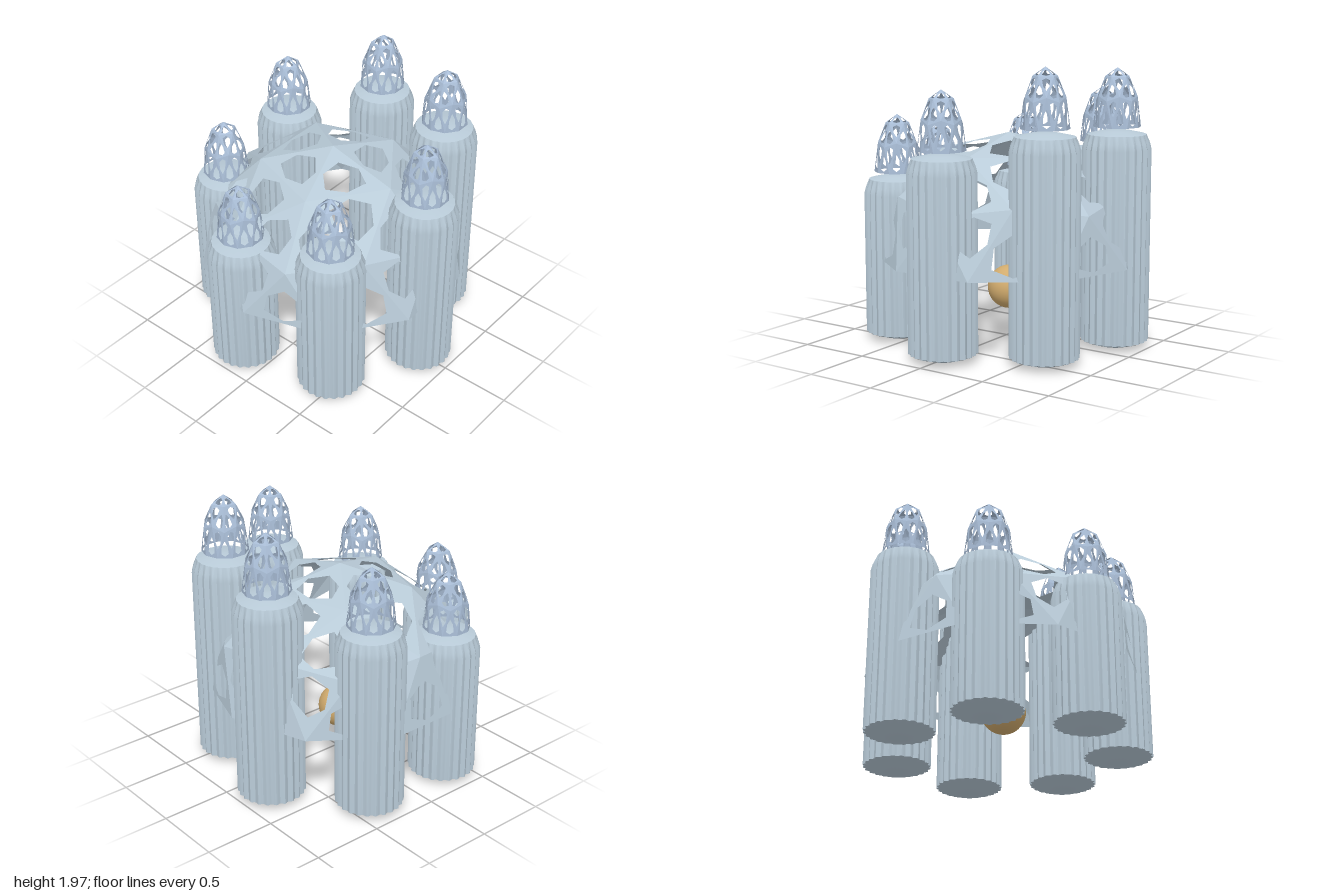
import * as THREE from 'three';
import { toCreasedNormals } from 'three/addons/utils/BufferGeometryUtils.js';

const shellMat = new THREE.MeshStandardMaterial({ color: 0xb9cbd8, side: THREE.DoubleSide });
const capMat = new THREE.MeshStandardMaterial({ color: 0xa9bdd6, side: THREE.DoubleSide });
const ballMat = new THREE.MeshStandardMaterial({ color: 0xd2ac6e });

// The upper half of a geodesic sphere as unit triangles
function hemisphereTriangles() {
  const at = (y, angle) => {
    const r = Math.sqrt(1 - y * y);
    return new THREE.Vector3(r * Math.cos(angle), y, r * Math.sin(angle));
  };
  const top = new THREE.Vector3(0, 1, 0), step = Math.PI * 2 / 5, lat = 1 / Math.sqrt(5);
  const faces = [];
  for (let k = 0; k < 5; k++) {
    const u0 = at(lat, k * step), u1 = at(lat, (k + 1) * step);
    const l0 = at(-lat, (k + 0.5) * step), l1 = at(-lat, (k + 1.5) * step);
    faces.push([top, u1, u0], [u0, u1, l0], [u1, l1, l0]);
  }
  const mid = (a, b) => a.clone().add(b).normalize();
  return faces.flatMap(([a, b, c]) => {
    const ab = mid(a, b), bc = mid(b, c), ca = mid(c, a);
    return [[a, ab, ca], [ab, b, bc], [ca, bc, c], [ab, bc, ca]];
  }).filter((t) => Math.min(t[0].y, t[1].y, t[2].y) > -0.001);
}

// Each triangle becomes a panel with a six-sided opening
function perforatedDome(radius, height, toCorner, toEdge) {
  const pos = [];
  const quad = (a, b, c, d) => [a, b, c, a, c, d].forEach((p) => pos.push(p.x, p.y, p.z));
  for (const tri of hemisphereTriangles()) {
    const v = tri.map((p) => new THREE.Vector3(p.x * radius, p.y * height, p.z * radius));
    const centre = v[0].clone().add(v[1]).add(v[2]).divideScalar(3);
    const outer = [], inner = [];
    for (let i = 0; i < 3; i++) {
      const m = v[i].clone().lerp(v[(i + 1) % 3], 0.5);
      outer.push(v[i], m);
      inner.push(centre.clone().lerp(v[i], toCorner), centre.clone().lerp(m, toEdge));
    }
    for (let i = 0; i < 6; i++) {
      const j = (i + 1) % 6;
      quad(outer[i], outer[j], inner[j], inner[i]);
    }
  }
  const geo = new THREE.BufferGeometry();
  geo.setAttribute('position', new THREE.Float32BufferAttribute(pos, 3));
  geo.computeVertexNormals();
  return geo;
}

// Round column with shallow flutes, a chamfered shoulder and a pointed underside
function flutedColumn(height) {
  const profile = [
    [0, 0], [0.13, 0.015], [0.228, 0.05], [0.228, height - 0.13],
    [0.218, height - 0.085], [0.2, height - 0.03], [0.1, height - 0.008], [0, height],
  ].map(([r, y]) => new THREE.Vector2(r, y));
  const geo = new THREE.LatheGeometry(profile, 144);
  const p = geo.attributes.position;
  for (let i = 0; i < p.count; i++) {
    const x = p.getX(i), z = p.getZ(i), r = Math.hypot(x, z);
    const depth = 0.008 * THREE.MathUtils.smoothstep(r, 0.19, 0.228);
    const k = r > 0 ? 1 + depth * Math.cos(24 * Math.atan2(z, x)) / r : 1;
    p.setX(i, x * k);
    p.setZ(i, z * k);
  }
  return toCreasedNormals(geo, 0.5);
}

export function createModel() {
  const model = new THREE.Group();
  const add = (parent, name, geo, mat, x, y, z) => {
    const mesh = new THREE.Mesh(geo, mat);
    mesh.name = name;
    mesh.position.set(x, y, z);
    parent.add(mesh);
  };
  const centreX = -0.034;

  // Seven towers in a ring, each with its own height
  const capBases = [1.41, 1.19, 1.07, 1.13, 1.35, 1.53, 1.565];
  const capGeo = perforatedDome(0.163, 0.4, 0.5, 0.78);
  capBases.forEach((capY, i) => {
    const angle = i * Math.PI * 2 / 7;
    const tower = new THREE.Group();
    tower.name = 'tower';
    tower.position.set(centreX + 0.784 * Math.cos(angle), 0, 0.764 / 0.975 * Math.sin(angle));
    add(tower, 'column', flutedColumn(capY - 0.02), shellMat, 0, 0, 0);
    add(tower, 'latticeCap', capGeo, capMat, 0, capY, 0);
    model.add(tower);
  });

  // Large open dome between the towers, with a ball hung below it
  add(model, 'latticeDome', perforatedDome(0.955, 0.87, 0.48, 0.84), shellMat, centreX, 0.59, 0);
  add(model, 'ball', new THREE.SphereGeometry(0.155, 32, 20), ballMat, centreX, 0.35, 0);
  return model;
}
